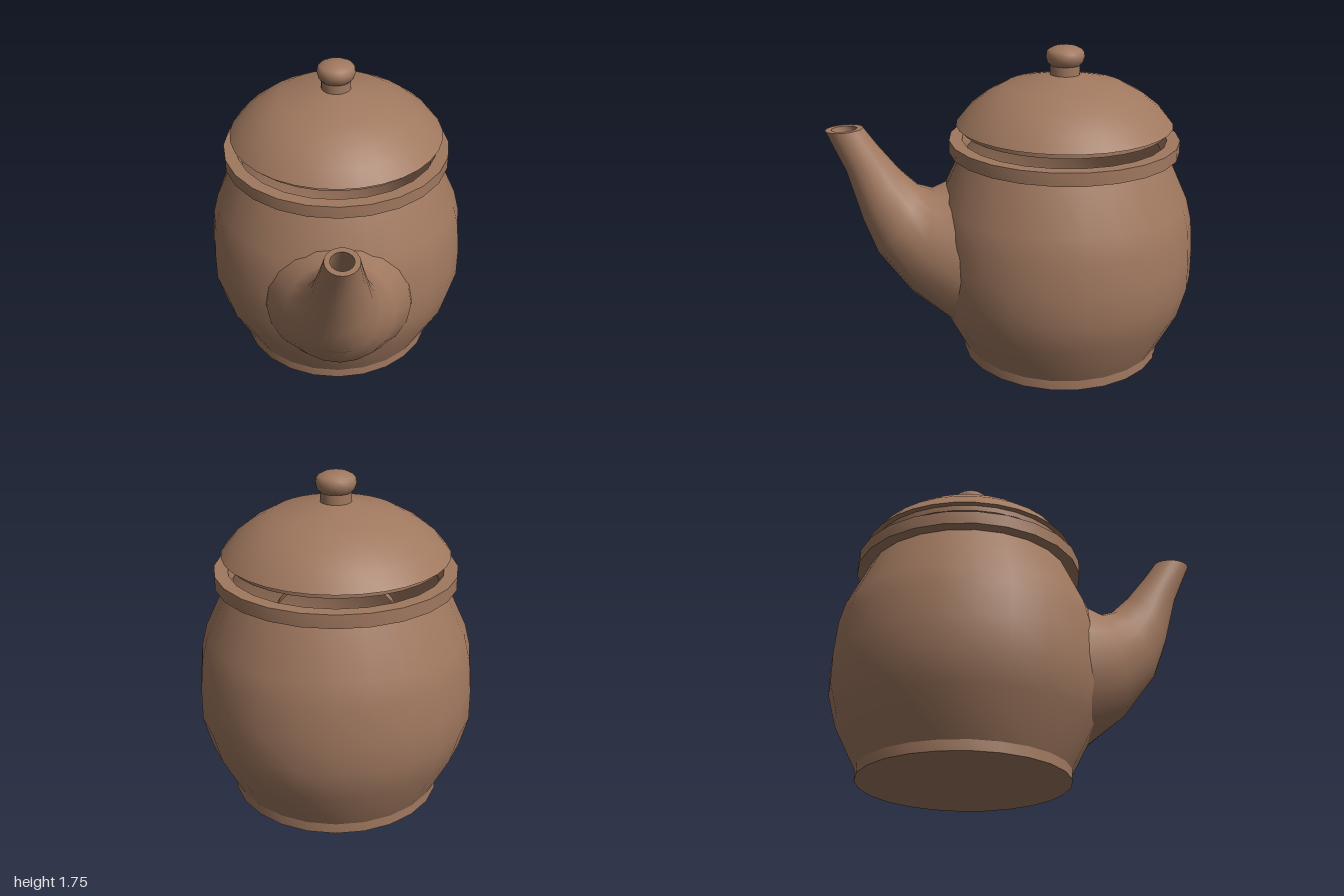
import * as THREE from 'three';
import { toCreasedNormals } from 'three/addons/utils/BufferGeometryUtils.js';

const AXIS_Z = -0.275; // the round parts sit behind the middle, the spout in front

export function createModel() {
  const group = new THREE.Group();
  const clay = new THREE.MeshStandardMaterial({ color: 0xa0785f });

  const add = (name, geometry, crease) => {
    const mesh = new THREE.Mesh(toCreasedNormals(geometry, crease), clay);
    mesh.name = name;
    group.add(mesh);
    return mesh;
  };

  // Profiles run from the bottom axis outwards and up
  const turn = (name, profile, segments, crease) => {
    const points = profile.map(([r, y]) => new THREE.Vector2(r, y));
    add(name, new THREE.LatheGeometry(points, segments), crease).position.z = AXIS_Z;
  };

  // Hollow pot with foot and square rim
  turn('body', [
    [0, 0], [0.56, 0], [0.56, 0.055], [0.68, 0.29], [0.725, 0.46], [0.725, 0.62],
    [0.71, 0.8], [0.68, 0.92], [0.56, 1.18], [0.625, 1.18], [0.625, 1.25],
    [0.555, 1.25], [0.53, 1.18], [0.64, 0.92], [0.685, 0.62], [0.64, 0.29],
    [0.52, 0.08], [0, 0.08],
  ], 24, 0.44);

  // Lid, lifted slightly above the rim
  turn('lid', [
    [0, 1.3], [0.553, 1.3], [0.553, 1.33], [0.585, 1.33], [0.52, 1.41],
    [0.43, 1.48], [0.32, 1.54], [0.08, 1.595], [0, 1.6],
  ], 32, 0.44);

  turn('lidKnob', [
    [0, 1.58], [0.08, 1.58], [0.08, 1.645], [0.095, 1.66], [0.104, 1.69],
    [0.1, 1.715], [0.09, 1.727], [0.06, 1.742], [0, 1.75],
  ], 24, 0.7);

  add('spout', spoutGeometry(), 0.9);
  return group;
}

// Elliptical rings from the wide root to the mouth, then back down the bore
function spoutGeometry() {
  const SIDES = 20;
  // top z, top y, bottom z, bottom y, half width
  const root = [0.2, 1.0, 0.2, 0.15, 0.42];
  const base = [0.36, 1.0, 0.36, 0.22, 0.39];
  const belly = [0.44, 0.97, 0.58, 0.4, 0.29];
  const bend = [0.52, 1.0, 0.76, 0.64, 0.205];
  const neck = [0.62, 1.1, 0.83, 0.83, 0.155];
  const throat = [0.73, 1.24, 0.905, 1.11, 0.112];
  const mouth = [0.8, 1.34, 1.0, 1.33, 0.085];
  const rings = [
    [root, 1], [base, 1], [belly, 1], [bend, 1], [neck, 1], [throat, 1], [mouth, 1],
    [mouth, 0.67], [throat, 0.7], [neck, 0.7], [bend, 0.7], [bend, 0],
  ];

  const positions = [];
  const indices = [];
  rings.forEach(([[tz, ty, bz, by, w], s], i) => {
    for (let j = 0; j < SIDES; j++) {
      const a = (j / SIDES) * Math.PI * 2;
      const c = (Math.cos(a) * s) / 2;
      positions.push(w * s * Math.sin(a), (ty + by) / 2 + (ty - by) * c, (tz + bz) / 2 + (tz - bz) * c);
      if (i === rings.length - 1) continue;
      const k = (j + 1) % SIDES;
      const lo = i * SIDES;
      const hi = lo + SIDES;
      indices.push(lo + k, lo + j, hi + j, lo + k, hi + j, hi + k);
    }
  });

  const geometry = new THREE.BufferGeometry();
  geometry.setAttribute('position', new THREE.Float32BufferAttribute(positions, 3));
  geometry.setIndex(indices);
  geometry.computeVertexNormals();
  return geometry;
}
